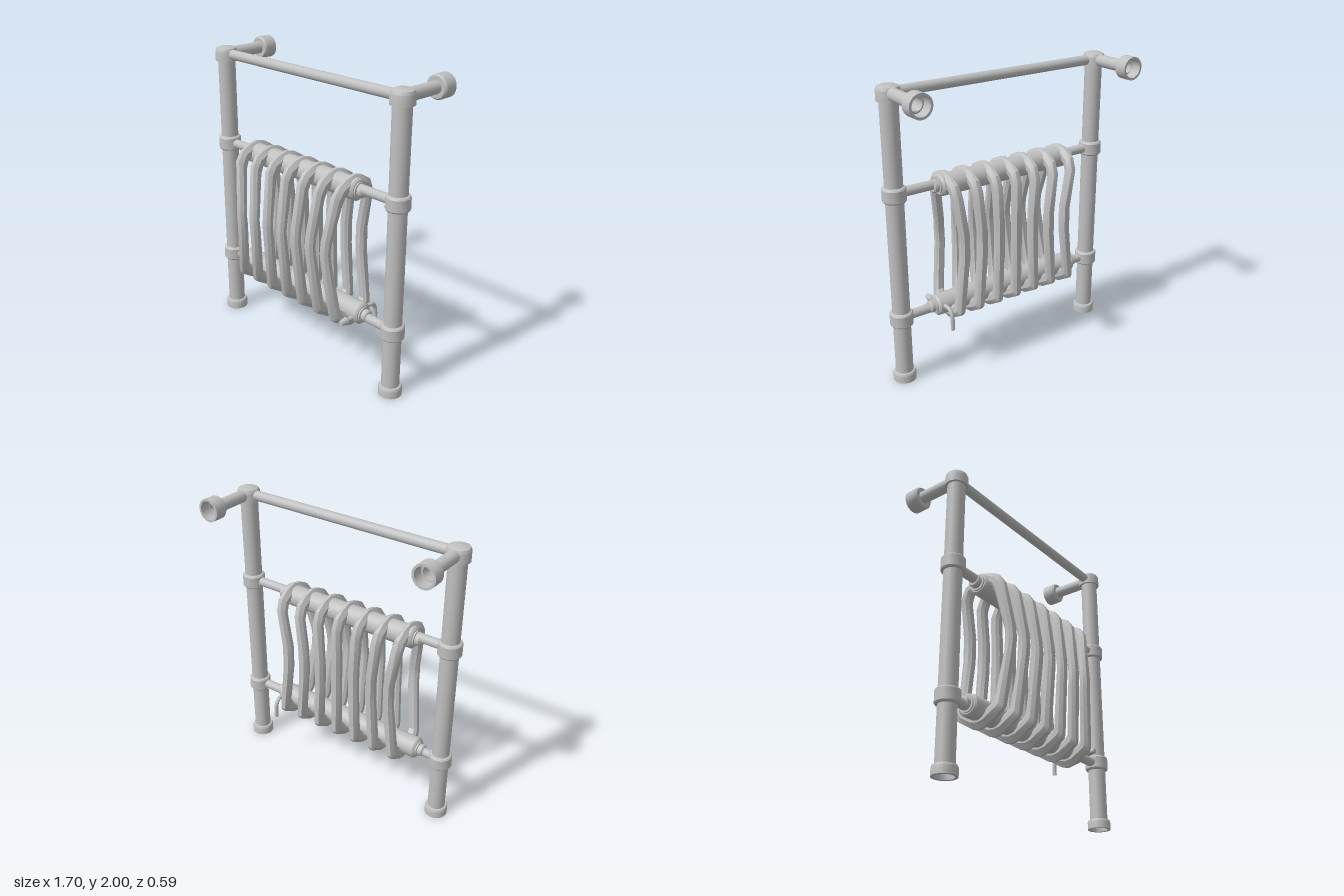
import * as THREE from 'three';
import { toCreasedNormals } from 'three/addons/utils/BufferGeometryUtils.js';

const steel = new THREE.MeshStandardMaterial({ color: 0xc0c0c0, side: THREE.DoubleSide });
steel.name = 'satin steel';
const Z = 0.083; // depth of the main frame plane
const POST_X = 0.775;

function add(parent, name, geometry) {
  const mesh = new THREE.Mesh(geometry, steel);
  mesh.name = name;
  parent.add(mesh);
  return mesh;
}

// Turned part from [radius, height] pairs, listed from bottom to top
function turned(points, segments = 20) {
  const lathe = new THREE.LatheGeometry(points.map(([r, h]) => new THREE.Vector2(r, h)), segments);
  return toCreasedNormals(lathe, 0.5);
}

// Turned part lying along x
function turnedX(points, segments) {
  return turned(points, segments).rotateZ(-Math.PI / 2);
}

// Fin loop stations: outer z, outer y, inner z, inner y, inward bend, edge half width
const STATIONS = [
  [0.08, 1.38, 0.08, 1.27, 0, 0.01],
  [0.15, 1.362, 0.13, 1.275, 0, 0.01],
  [0.21, 1.33, 0.165, 1.26, 0, 0.012],
  [0.25, 1.27, 0.187, 1.21, 0.1, 0.016],
  [0.288, 0.98, 0.232, 0.96, 0.95, 0.02],
  [0.294, 0.9, 0.238, 0.9, 1, 0.02],
  [0.288, 0.82, 0.23, 0.82, 0.95, 0.02],
  [0.257, 0.45, 0.195, 0.5, 0.1, 0.016],
  [0.245, 0.428, 0.17, 0.475, 0, 0.012],
  [0.13, 0.358, 0.12, 0.45, 0, 0.01],
  [0.08, 0.345, 0.08, 0.45, 0, 0.01],
  [0.03, 0.358, 0.04, 0.45, 0, 0.01],
  [-0.072, 0.42, 0.0, 0.475, 0, 0.012],
  [-0.087, 0.445, -0.02, 0.5, 0.1, 0.016],
  [-0.087, 0.82, -0.02, 0.82, 0.95, 0.02],
  [-0.087, 0.98, -0.02, 0.98, 0.95, 0.02],
  [-0.087, 1.24, -0.02, 1.21, 0.1, 0.016],
  [-0.055, 1.32, 0.0, 1.26, 0, 0.012],
  [0.01, 1.362, 0.03, 1.275, 0, 0.01],
];

// Bevelled closed loop; each cross-section runs from the outer edge to the inner edge
function finGeometry(x) {
  const bend = -(x + 0.035) * 0.11;
  const positions = [], index = [];
  const W = 0.034;
  for (const [oz, oy, iz, iy, shift, edge] of STATIONS) {
    const half = [[0, edge], [0.35, W], [0.75, W], [1, 0.018]];
    const section = [...half, ...half.map(([t, w]) => [t, -w]).reverse()];
    for (const [t, w] of section) {
      positions.push(x + bend * shift + w, oy + (iy - oy) * t, oz + (iz - oz) * t);
    }
  }
  const n = STATIONS.length;
  for (let i = 0; i < n; i++) {
    for (let j = 0; j < 8; j++) {
      const a = i * 8 + j, b = ((i + 1) % n) * 8 + j;
      const c = i * 8 + (j + 1) % 8, d = ((i + 1) % n) * 8 + (j + 1) % 8;
      index.push(a, b, c, b, d, c);
    }
  }
  const g = new THREE.BufferGeometry();
  g.setAttribute('position', new THREE.Float32BufferAttribute(positions, 3));
  g.setIndex(index);
  return toCreasedNormals(g, 0.5);
}

// Drum with stepped unions at both ends
function drum(x0, x1) {
  const r = 0.071, b = 0.012;
  return turnedX([
    [0, x0 - 0.045], [0.032, x0 - 0.045], [0.04, x0 - 0.038], [0.04, x0 - 0.01], [0.052, x0 - 0.01],
    [0.052, x0], [r - b, x0], [r, x0 + b], [r, x1 - b], [r - b, x1], [0.052, x1],
    [0.052, x1 + 0.01], [0.04, x1 + 0.01], [0.04, x1 + 0.038], [0.032, x1 + 0.045], [0, x1 + 0.045],
  ]);
}

function collar(y) {
  return turned([
    [0.058, y - 0.048], [0.07, y - 0.046], [0.076, y - 0.038],
    [0.076, y + 0.036], [0.07, y + 0.045], [0.058, y + 0.05],
  ]);
}

function createPost(side) {
  const post = new THREE.Group();
  post.name = side > 0 ? 'leftPost' : 'rightPost';
  post.position.set(side * POST_X, 0, Z);

  add(post, 'upright', new THREE.CylinderGeometry(0.058, 0.058, 1.89, 20, 1, true)).position.y = 0.965;
  // Hollow foot
  add(post, 'foot', turned([
    [0.058, 0.05], [0.058, 0], [0.076, 0], [0.076, 0.05], [0.07, 0.063], [0.058, 0.066],
  ]));
  add(post, 'lowerCollar', collar(0.455));
  add(post, 'upperCollar', collar(1.305));
  add(post, 'cap', turned([
    [0.058, 1.88], [0.074, 1.88], [0.074, 1.945], [0.066, 1.963], [0.045, 1.972], [0, 1.975],
  ]));

  // Wall arm with an open cup at the back
  const arm = add(post, 'wallArm', new THREE.CylinderGeometry(0.04, 0.04, 0.32, 20, 1, true));
  arm.rotation.x = -Math.PI / 2;
  arm.position.set(0, 1.925, -0.16);
  const cup = add(post, 'wallCup', turned([
    [0.04, 0], [0.066, 0], [0.075, 0.012], [0.075, 0.094], [0.06, 0.094], [0.06, 0.02], [0.04, 0.02],
  ]));
  cup.rotation.x = -Math.PI / 2;
  cup.position.set(0, 1.925, -0.2 - Z);
  return post;
}

// Bleed valve with a tapered knob and a bent drain pipe
function createValve() {
  const valve = new THREE.Group();
  valve.name = 'valve';
  valve.position.x = 0.49;
  const knob = add(valve, 'valveKnob', turned([
    [0, 0], [0.016, 0], [0.025, 0.012], [0.025, 0.02], [0.016, 0.064], [0, 0.064],
  ], 12));
  knob.rotation.x = Math.PI / 2;
  knob.position.set(0, 0.447, 0.183);
  const stem = add(valve, 'valveStem', new THREE.CylinderGeometry(0.015, 0.015, 0.1, 12));
  stem.rotation.x = Math.PI / 2;
  stem.position.set(0, 0.447, 0.15);
  const path = new THREE.CatmullRomCurve3([
    [0.06, 0.475], [-0.01, 0.478], [-0.045, 0.474], [-0.068, 0.445], [-0.075, 0.4], [-0.075, 0.34],
  ].map(([z, y]) => new THREE.Vector3(0, y, z)));
  add(valve, 'drainPipe', new THREE.TubeGeometry(path, 20, 0.014, 10, false));
  return valve;
}

export function createModel() {
  const model = new THREE.Group();
  model.name = 'towelRadiator';

  for (const side of [-1, 1]) model.add(createPost(side));

  // Horizontal bars between the posts
  for (const [name, y, r] of [['towelBar', 1.925, 0.033], ['upperPipe', 1.305, 0.031], ['lowerPipe', 0.455, 0.031]]) {
    const bar = add(model, name, new THREE.CylinderGeometry(r, r, POST_X * 2, 16, 1, true));
    bar.rotation.z = Math.PI / 2;
    bar.position.set(0, y, Z);
  }

  add(model, 'upperDrum', drum(-0.54, 0.47)).position.set(0, 1.292, 0.08);
  add(model, 'lowerDrum', drum(-0.61, 0.53)).position.set(0, 0.464, 0.08);

  // Seven fins, bowed toward the middle
  const fins = new THREE.Group();
  fins.name = 'fins';
  for (let i = 0; i < 7; i++) add(fins, 'fin', finGeometry(-0.49 + i * 0.1515));
  model.add(fins);

  model.add(createValve());
  return model;
}
